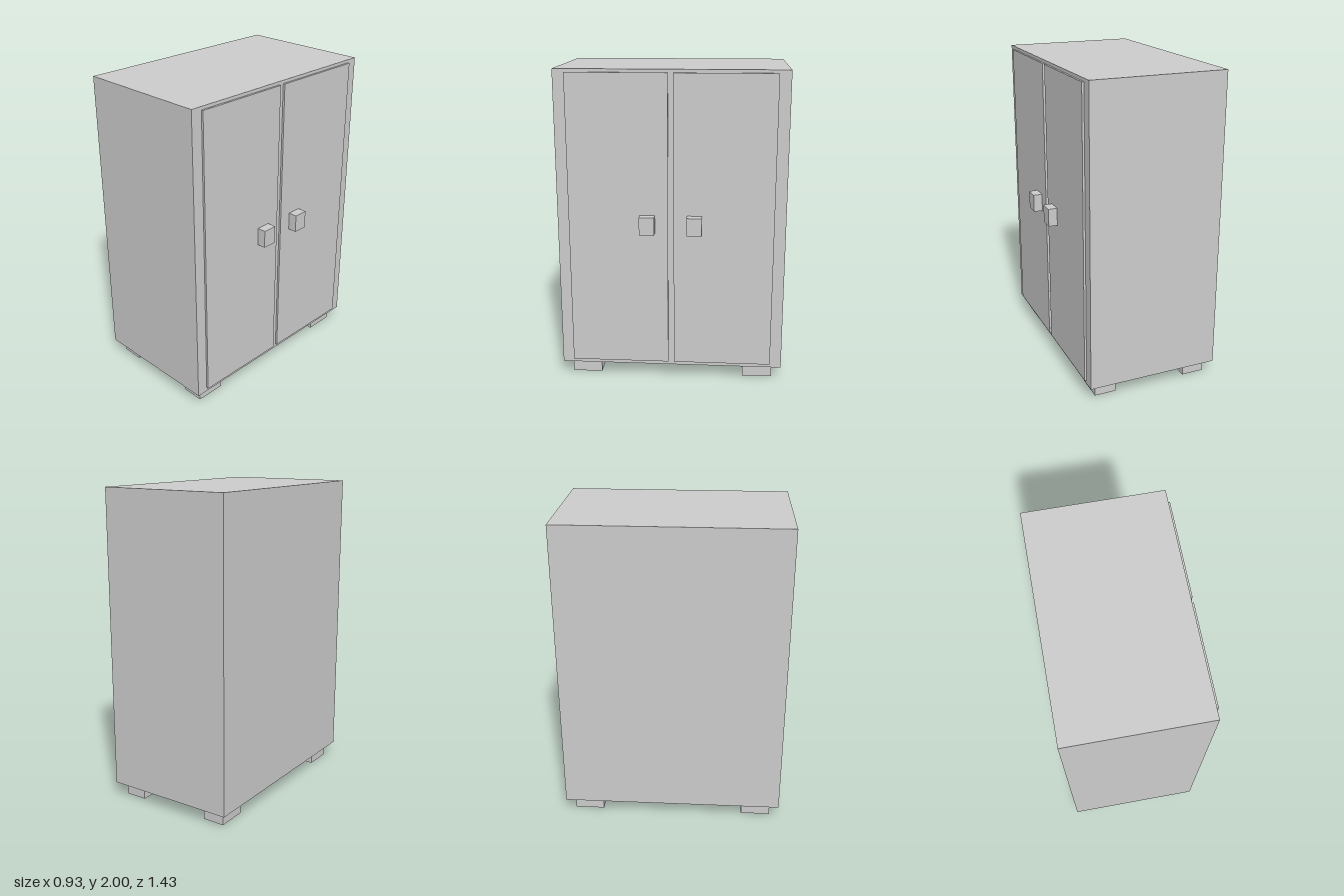
import * as THREE from 'three';

const material = new THREE.MeshStandardMaterial({ color: 0xcccccc, flatShading: true });

// Box given by its lower and upper bounds on each axis
function box(name, [x0, x1], [y0, y1], [z0, z1]) {
  const mesh = new THREE.Mesh(new THREE.BoxGeometry(x1 - x0, y1 - y0, z1 - z0), material);
  mesh.position.set((x0 + x1) / 2, (y0 + y1) / 2, (z0 + z1) / 2);
  mesh.name = name;
  return mesh;
}

export function createModel() {
  const cabinet = new THREE.Group();
  cabinet.name = 'cabinet';

  // Main carcass
  cabinet.add(box('body', [-0.465, 0.395], [0.09, 2], [-0.713, 0.713]));

  for (const side of [1, -1]) {
    const label = side > 0 ? 'front' : 'back';
    const span = (a, b) => (side > 0 ? [a, b] : [-b, -a]);

    // Door panel and its block handle, on the +x face
    cabinet.add(box(label + 'Door', [0.395, 0.408], [0.115, 1.98], span(0.018, 0.641)));
    cabinet.add(box(label + 'Handle', [0.408, 0.465], [0.99, 1.105], span(0.1, 0.194)));

    // Feet
    cabinet.add(box(label + 'RightFoot', [-0.418, -0.275], [0, 0.09], span(0.466, 0.656)));
    cabinet.add(box(label + 'LeftFoot', [0.205, 0.346], [0, 0.09], span(0.466, 0.656)));
  }
  return cabinet;
}
